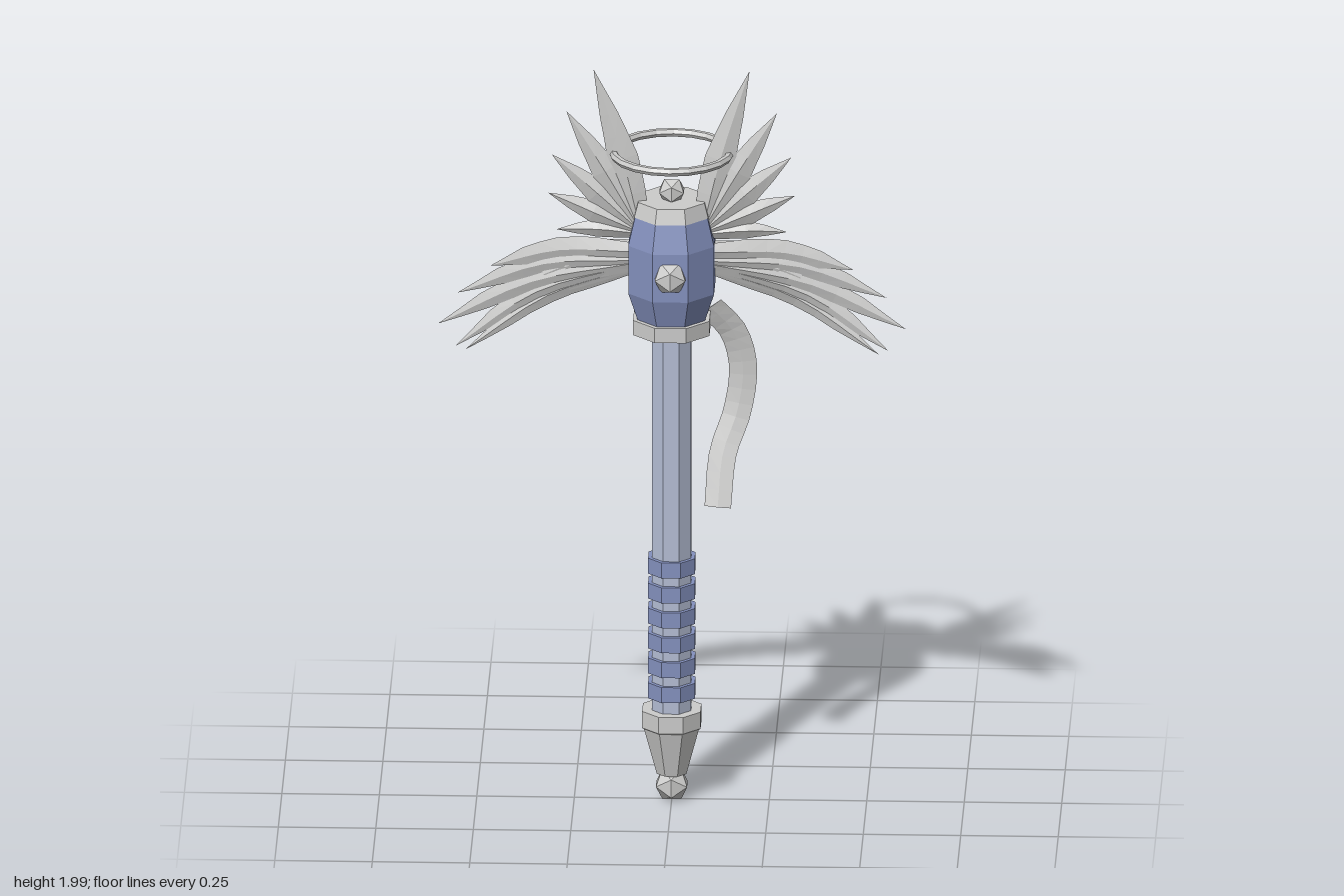
import * as THREE from 'three';

const material = (name, color) => {
  const m = new THREE.MeshStandardMaterial({ color });
  m.name = name;
  return m;
};

export function createModel() {
  const model = new THREE.Group();
  model.name = 'wingedMace';
  const silver = material('silver', 0xcccccb);
  const blue = material('slateBlue', 0x8491be);
  const steel = material('paleSteel', 0xb4bdd4);

  // Adds a faceted mesh
  function add(name, geometry, mat, x = 0, y = 0, z = 0) {
    const g = geometry.index ? geometry.toNonIndexed() : geometry;
    g.computeVertexNormals();
    const mesh = new THREE.Mesh(g, mat);
    mesh.name = name;
    mesh.position.set(x, y, z);
    model.add(mesh);
    return mesh;
  }

  // Octagonal turned part with a flat side to the front; profile is [half width, y]
  function turned(name, profile, mat) {
    const k = 1 / Math.cos(Math.PI / 8);
    const pts = profile.map(([r, y]) => new THREE.Vector2(r * k, y));
    return add(name, new THREE.LatheGeometry(pts, 8, Math.PI / 8), mat);
  }

  // Diamond-section blade along a curve; widths and depths are half sizes from root to tip
  function blade(name, points, widths, depths, steps, side = 1) {
    const curve = new THREE.CatmullRomCurve3(points.map((p) => new THREE.Vector3(...p)));
    const sample = (a, t) => {
      const f = t * (a.length - 1), i = Math.min(Math.floor(f), a.length - 2);
      return a[i] + (a[i + 1] - a[i]) * (f - i);
    };
    const rings = [];
    for (let i = 0; i <= steps; i++) {
      const t = i / steps, p = curve.getPoint(t), d = curve.getTangent(t);
      const n = new THREE.Vector3(-d.y, d.x, 0).normalize().multiplyScalar(sample(widths, t));
      const z = new THREE.Vector3(0, 0, sample(depths, t));
      rings.push([p.clone().add(n), p.clone().add(z), p.clone().sub(n), p.clone().sub(z)]);
    }
    const pos = [];
    const tri = (a, b, c) => (side > 0 ? [a, b, c] : [a, c, b]).forEach((v) => pos.push(v.x * side, v.y, v.z));
    for (let i = 0; i < steps; i++) {
      for (let k = 0; k < 4; k++) {
        const j = (k + 1) % 4, lo = rings[i], hi = rings[i + 1];
        tri(lo[k], lo[j], hi[k]);
        tri(lo[j], hi[j], hi[k]);
      }
    }
    const s = rings[0], e = rings[steps];
    tri(s[0], s[2], s[1]); tri(s[0], s[3], s[2]);
    tri(e[0], e[1], e[2]); tri(e[0], e[2], e[3]);
    const g = new THREE.BufferGeometry();
    g.setAttribute('position', new THREE.Float32BufferAttribute(pos, 3));
    return add(name, g, silver);
  }

  // Handle: shaft, grip rings, pommel and its gem
  turned('shaft', [[0.05, 0.2], [0.05, 1.3]], steel);
  for (let i = 0; i < 6; i++) {
    const y = 0.31 + i * 0.068;
    turned('gripRing', [[0.045, y - 0.021], [0.06, y - 0.021], [0.06, y + 0.021], [0.045, y + 0.021]], blue);
  }
  turned('pommel', [[0, 0.08], [0.038, 0.08], [0.07, 0.205], [0.075, 0.21], [0.075, 0.255], [0, 0.255]], silver);
  add('pommelGem', new THREE.IcosahedronGeometry(0.047, 0), silver, 0, 0.047, 0);

  // Head: collar, barrel and cap
  turned('headCollar', [[0, 1.285], [0.098, 1.285], [0.098, 1.325], [0, 1.325]], silver);
  turned('headBarrel', [[0.085, 1.32], [0.11, 1.4], [0.11, 1.53], [0.092, 1.61]], blue);
  turned('headCap', [[0, 1.605], [0.095, 1.605], [0.085, 1.645], [0, 1.645]], silver);

  // Gems on the cap, front and back
  add('capGem', new THREE.IcosahedronGeometry(0.037, 0), silver, 0, 1.665, 0);
  for (const z of [0.105, -0.105]) {
    add('sideGem', new THREE.IcosahedronGeometry(0.046, 0), silver, 0, 1.465, z);
  }

  // Halo
  add('halo', new THREE.TorusGeometry(0.15, 0.011, 6, 20).rotateX(Math.PI / 2), silver, 0, 1.77, 0);

  // Middle point, tip and half width of each feather
  const upper = [
    [[0.125, 1.76], [0.2, 2.0], 0.04],
    [[0.17, 1.725], [0.27, 1.885], 0.036],
    [[0.19, 1.665], [0.307, 1.765], 0.034],
    [[0.2, 1.612], [0.317, 1.66], 0.03],
    [[0.19, 1.565], [0.295, 1.56], 0.024],
  ];
  const lower = [
    [[0.1, 1.5], [0.29, 1.495], [0.465, 1.45], 0.032],
    [[0.1, 1.475], [0.33, 1.455], [0.55, 1.375], 0.03],
    [[0.1, 1.465], [0.36, 1.405], [0.6, 1.29], 0.03],
    [[0.1, 1.46], [0.35, 1.375], [0.555, 1.23], 0.028],
    [[0.1, 1.45], [0.32, 1.365], [0.53, 1.22], 0.024],
  ];
  for (const side of [1, -1]) {
    // Upper wing: spiky fan beside the cap
    upper.forEach(([mid, tip, w], i) => {
      const z = 0.018 - i * 0.002;
      blade('upperWingFeather', [[0.08, 1.57 - i * 0.004, z], [...mid, z], [...tip, z]],
        [w * 0.6, w * 0.9, w, w * 0.6, 0], [0.008, 0.012, 0.012, 0.006, 0], 8, side);
    });
    // Lower wing: long drooping feathers, swept slightly back
    lower.forEach(([root, mid, tip, w], i) => {
      const z = -i * 0.004;
      blade('lowerWingFeather', [[...root, z], [...mid, z - 0.02], [...tip, -0.014]],
        [w * 0.7, w, w, w * 0.75, 0], [0.008, 0.01, 0.009, 0.006, 0], 8, side);
    });
    // Overlapping scales along the back of the lower wing
    for (let i = 0; i < 5; i++) {
      const x = 0.09 + i * 0.055, y = 1.48 - i * i * 0.0035, z = -0.016 - i * 0.004;
      blade('lowerWingScale', [[x, y, z], [x + 0.035, y - 0.005, z - 0.003], [x + 0.075, y - 0.008 - i * 0.005, z - 0.006]],
        [0.045, 0.05, 0.052], [0.01, 0.013, 0.015], 2, side);
    }
  }

  // Ribbon hanging on the left side
  blade('ribbon', [[0.098, 1.335, -0.04], [0.155, 1.26, -0.068], [0.18, 1.16, -0.08], [0.165, 1.04, -0.07],
    [0.13, 0.94, -0.035], [0.118, 0.805, 0.004]], [0.034, 0.036, 0.036, 0.034], [0.003, 0.003], 16);

  return model;
}
